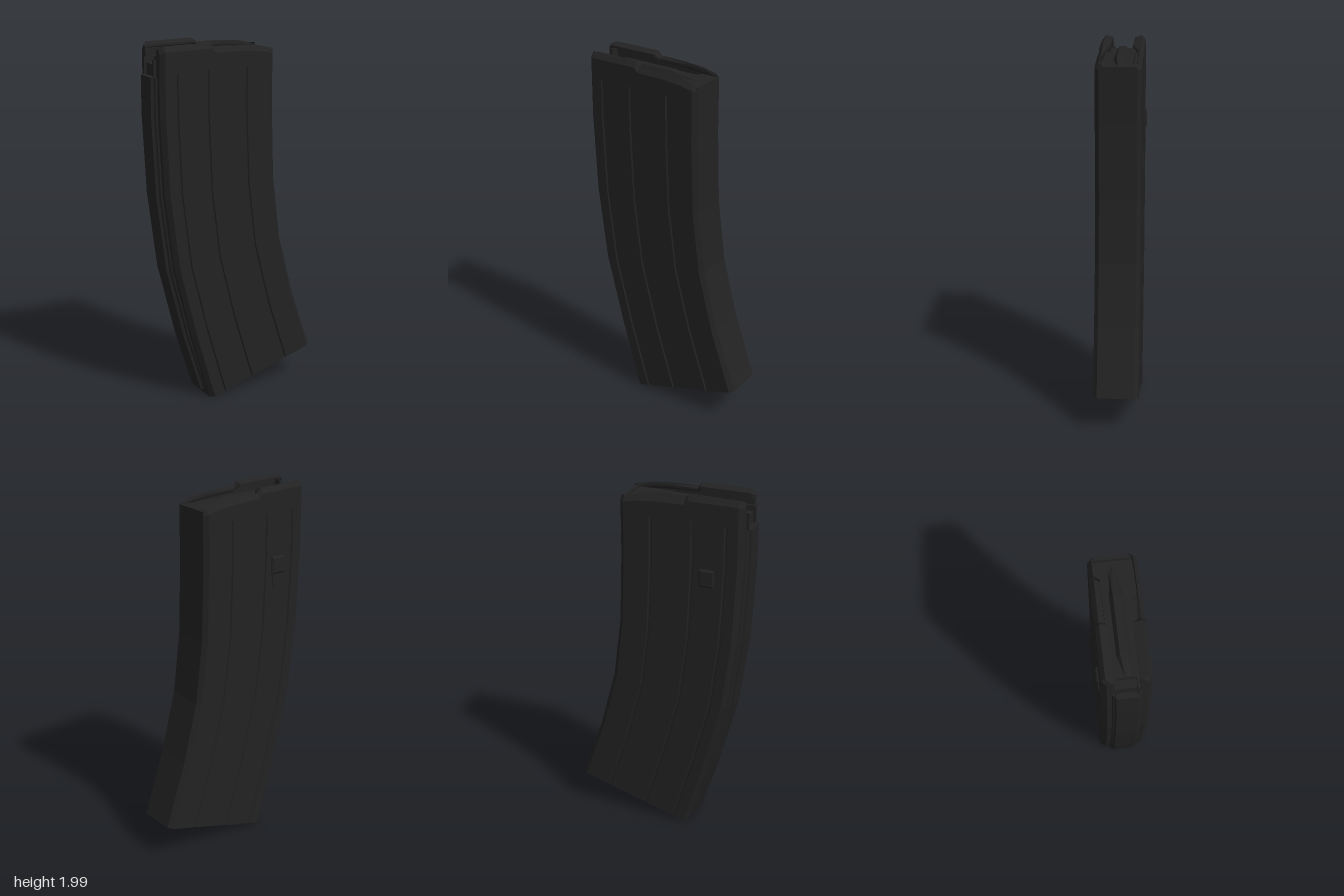
import * as THREE from 'three';

const ZC = 0.0035, HALF = 0.1215; // centre plane and half thickness of the shell

// Closed, flat-shaded loft: each row is a 2D ring, place(a, b, row) puts it in space
function loft(rings, place) {
  const out = [];
  const area = r => THREE.ShapeUtils.area(r.map(p => new THREE.Vector2(...p)));
  rings = rings.map(r => (area(r) < 0 ? [...r].reverse() : r));
  const P = rings.map((r, i) => r.map(([a, b]) => place(a, b, i)));
  const n = P[0].length, last = P.length - 1;
  for (let i = 0; i < last; i++) {
    for (let k = 0; k < n; k++) {
      const m = (k + 1) % n;
      out.push([P[i][k], P[i][m], P[i + 1][m]], [P[i][k], P[i + 1][m], P[i + 1][k]]);
    }
  }
  for (const i of [0, last]) {
    const flat = rings[i].map(p => new THREE.Vector2(...p));
    for (let [a, b, c] of THREE.ShapeUtils.triangulateShape(flat, [])) {
      const ccw = area([rings[i][a], rings[i][b], rings[i][c]]) > 0;
      if (ccw === (i === 0)) [b, c] = [c, b];
      out.push([P[i][a], P[i][b], P[i][c]]);
    }
  }
  let volume = 0;
  for (const [a, b, c] of out) volume += a.dot(b.clone().cross(c));
  if (volume < 0) out.forEach(t => t.reverse());
  const geo = new THREE.BufferGeometry().setFromPoints(out.flat());
  geo.computeVertexNormals();
  return geo;
}

export function createModel() {
  const model = new THREE.Group();
  model.name = 'curvedBoxMagazine';
  const black = new THREE.MeshStandardMaterial({ color: 0x222222 });
  black.name = 'matte black';
  const add = (name, geo) => {
    const mesh = new THREE.Mesh(geo, black);
    mesh.name = name;
    model.add(mesh);
    return mesh;
  };
  const box = (name, x0, x1, y0, y1, z0, z1) => {
    const mesh = add(name, new THREE.BoxGeometry(x1 - x0, y1 - y0, z1 - z0));
    mesh.position.set((x0 + x1) / 2, (y0 + y1) / 2, (z0 + z1) / 2);
    return mesh;
  };

  // Curve of the shell: spine edge x, y and opposite edge x, y
  const rows = [
    [-0.484, 1.90, 0.217, 1.90],
    [-0.484, 1.63, 0.217, 1.63],
    [-0.463, 1.206, 0.23, 1.23],
    [-0.41, 0.79, 0.272, 0.89],
    [-0.31, 0.386, 0.357, 0.56],
    [-0.201, -0.001, 0.479, 0.2],
  ];
  const along = ([lx, ly, rx, ry], u, z) =>
    new THREE.Vector3(lx + (rx - lx) * u, ly + (ry - ly) * u, ZC + z);

  // Shell section: chamfered corners and shallow pressed grooves on both broad sides
  const U0 = 0.043, side = [[U0, 0.098], [U0 + 0.032, HALF]];
  for (const u of [0.168, 0.425, 0.752]) {
    side.push([u - 0.013, HALF], [u - 0.006, HALF - 0.007], [u + 0.006, HALF - 0.007], [u + 0.013, HALF]);
  }
  side.push([0.968, HALF], [1, 0.1]);
  const section = [...side, ...[...side].reverse().map(([u, z]) => [u, -z])];
  add('shell', loft(rows.map(() => section), (u, z, i) => along(rows[i], u, z)));

  // Raised spine with a narrower crest
  const spineRows = [[-0.484, 1.84, 0.217, 1.84], ...rows.slice(1, 5), [-0.204, 0.04, 0.479, 0.235]];
  const spine = [[0.06, -0.078], [0.03, -0.07], [0.022, -0.06], [0, -0.055],
    [0, 0.055], [0.022, 0.06], [0.03, 0.07], [0.06, 0.078]];
  add('spine', loft(spineRows.map(() => spine), (u, z, i) => along(spineRows[i], u, z)));
  for (const s of [-1, 1]) {
    box('spineTopRail', -0.468, -0.41, 1.8, 1.93, ZC + s * 0.055 - 0.007, ZC + s * 0.055 + 0.007);
  }

  // Feed lips: x, top height, inner reach, outer face
  const stations = [
    [-0.453, 1.99, 0.062, 0.099],
    [-0.43, 2.0, 0.061, HALF],
    [-0.16, 2.0, 0.061, HALF],
    [-0.14, 1.977, 0.085, HALF],
    [0.02, 1.973, 0.098, HALF],
    [0.13, 1.963, 0.098, HALF],
    [0.195, 1.948, 0.095, HALF],
    [0.217, 1.947, 0.085, 0.1],
  ];
  for (const s of [-1, 1]) {
    const rings = stations.map(([, top, inner, outer]) => [
      [outer, 1.86], [outer, top - 0.028], [outer - 0.02, top], [inner, top - 0.012],
      [inner, top - 0.024], [outer - 0.019, top - 0.034], [outer - 0.019, 1.86],
    ]);
    add(s > 0 ? 'frontFeedLip' : 'backFeedLip',
      loft(rings, (z, y, i) => new THREE.Vector3(stations[i][0], y, ZC + s * z)));
  }
  box('endWall', 0.198, 0.217, 1.86, 1.935, ZC - 0.1, ZC + 0.1);
  for (const s of [-1, 1]) {
    box('spineSideWall', -0.453, -0.435, 1.86, 1.965, ZC + s * 0.08 - 0.019, ZC + s * 0.08 + 0.019);
  }

  // Follower plate with an elongated ridge
  const plate = new THREE.Shape([
    [-0.41, -0.07], [-0.02, -0.07], [0.0, -0.098], [0.19, -0.098],
    [0.19, 0.098], [0.12, 0.098], [0.1, 0.07], [-0.41, 0.07],
  ].map(p => new THREE.Vector2(...p)));
  const plateGeo = new THREE.ExtrudeGeometry(plate, { depth: 0.04, bevelEnabled: false });
  plateGeo.rotateX(-Math.PI / 2);
  add('follower', plateGeo).position.set(0, 1.89, ZC);
  const ridge = [[-0.41, 0.004, 1.931], [-0.3, 0.018, 1.958], [0, 0.018, 1.958], [0.16, 0.004, 1.931]];
  add('followerRidge', loft(
    ridge.map(([, w, top]) => [[-w - 0.02, 1.925], [-w, top], [w, top], [w + 0.02, 1.925]]),
    (z, y, i) => new THREE.Vector3(ridge[i][0], y, ZC + z)));

  // Catch on the back: chamfered block above a rounded tongue
  const catchRow = [[0.042, 1.515, 1.615, -0.115], [0.042, 1.517, 1.613, -0.124], [0.032, 1.527, 1.605, -0.131]];
  add('catchBlock', loft(
    catchRow.map(([w, y0, y1]) => [[-w, y0], [w, y0], [w, y1], [-w, y1]]),
    (x, y, i) => new THREE.Vector3(-0.27 + x, y, catchRow[i][3])));
  const tongue = new THREE.Shape();
  tongue.moveTo(0.033, 0.09);
  tongue.lineTo(-0.033, 0.09);
  tongue.lineTo(-0.033, 0.033);
  tongue.absarc(0, 0.033, 0.033, Math.PI, Math.PI * 2, false);
  add('catchTongue', new THREE.ExtrudeGeometry(tongue, { depth: 0.008, bevelEnabled: false, curveSegments: 6 }))
    .position.set(-0.27, 1.43, -0.122);

  // Floor plate tabs under the sloped base
  const floor = new THREE.Group();
  floor.name = 'floorPlate';
  floor.position.set(-0.172, 0.008, ZC);
  floor.rotation.z = Math.atan2(0.201, 0.68);
  for (const [u, w, depth] of [[0.19, 0.1, 0.21], [0.59, 0.055, 0.17]]) {
    const tab = box('floorTab', u - w / 2, u + w / 2, -0.011, 0.01, -depth / 2, depth / 2);
    floor.add(tab);
  }
  const stud = add('floorStud', new THREE.CylinderGeometry(0.014, 0.014, 0.012, 12));
  stud.position.set(0.08, -0.002, 0);
  floor.add(stud);
  model.add(floor);
  return model;
}
